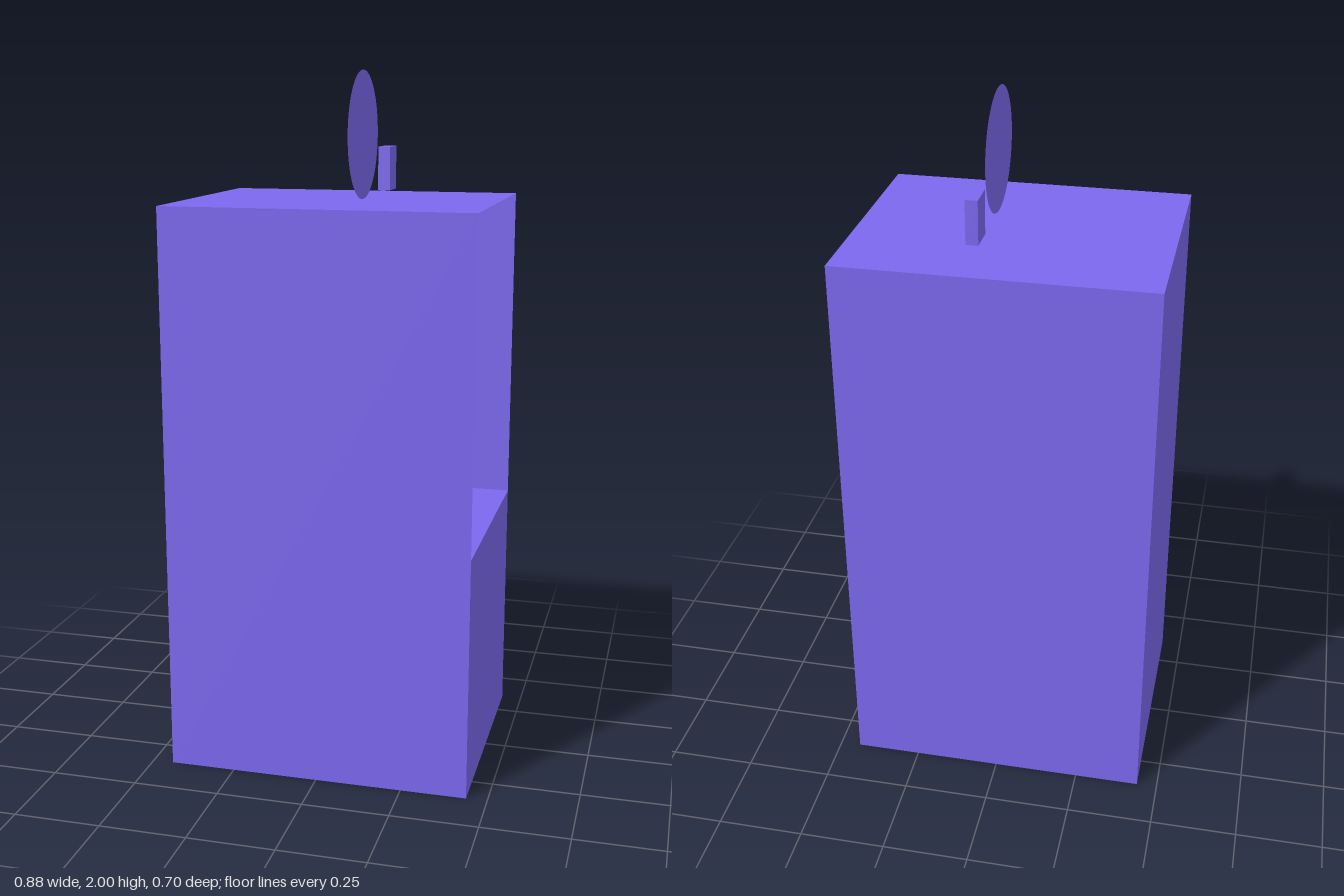
import * as THREE from 'three';

export function createModel() {
  const W = 0.88, H = 1.64, D = 0.705, SHELF = 0.705, TRIM = 0.013;
  const material = new THREE.MeshStandardMaterial({ color: 0x7b68ee, side: THREE.DoubleSide });
  const model = new THREE.Group();

  function add(parent, name, geometry, [x, y, z], [rx, ry] = [0, 0]) {
    const mesh = new THREE.Mesh(geometry, material);
    mesh.name = name;
    mesh.position.set(x, y, z);
    mesh.rotation.set(rx, ry, 0);
    parent.add(mesh);
  }
  const plane = (w, h) => new THREE.PlaneGeometry(w, h);

  // Thin-walled cabinet, open on the upper part of its +x side
  const cabinet = new THREE.Group();
  cabinet.name = 'cabinet';
  model.add(cabinet);
  add(cabinet, 'frontWall', plane(W, H), [0, H / 2, D / 2]);
  add(cabinet, 'backWall', plane(W, H), [0, H / 2, -D / 2], [0, Math.PI]);
  add(cabinet, 'closedSideWall', plane(D, H), [-W / 2, H / 2, 0], [0, -Math.PI / 2]);
  add(cabinet, 'lowerSidePanel', plane(D, SHELF), [W / 2, SHELF / 2, 0], [0, Math.PI / 2]);
  add(cabinet, 'floor', plane(W, D), [0, 0, 0], [Math.PI / 2, 0]);
  add(cabinet, 'shelf', plane(W, D), [0, SHELF, 0], [-Math.PI / 2, 0]);

  // Top panel with a narrow strip along the open edge
  add(cabinet, 'topPanel', plane(W - TRIM, D), [-TRIM / 2, H, 0], [-Math.PI / 2, 0]);
  add(cabinet, 'topEdgeStrip', plane(TRIM, D), [W / 2 - TRIM / 2, H, 0], [-Math.PI / 2, 0]);

  // Flat disc and small plain block above the top
  add(model, 'disc', new THREE.CircleGeometry(0.175, 64), [0.075, 1.825, 0.1], [0, Math.PI / 2]);
  add(model, 'smallBlock', new THREE.BoxGeometry(0.035, 0.125, 0.084), [0.087, 1.722, -0.148]);

  return model;
}
